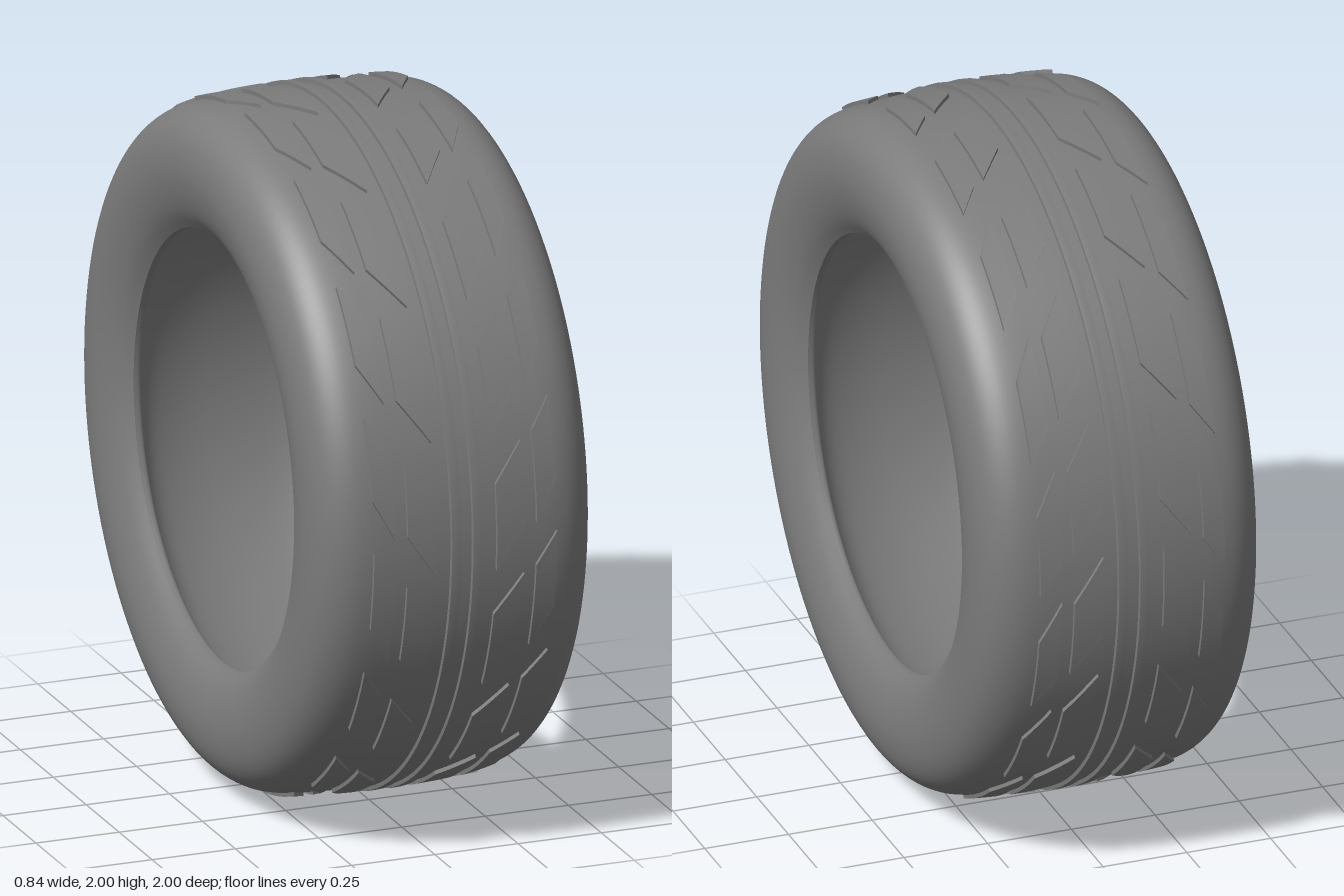
import * as THREE from 'three';

const SEGMENTS = 128;
const BLOCKS = 16;
const PITCH = (Math.PI * 2) / BLOCKS;

// Radius of the slightly crowned tread at a distance x from the middle
const crown = (x) => 0.988 - 0.16 * x * x;

export function createModel() {
  const group = new THREE.Group();
  const tyre = new THREE.Group();
  tyre.name = 'tyre';
  tyre.position.y = 1;
  group.add(tyre);

  const rubber = new THREE.MeshStandardMaterial({ color: 0x7c7c7c });

  function add(name, geometry) {
    const mesh = new THREE.Mesh(geometry, rubber);
    mesh.name = name;
    tyre.add(mesh);
    return mesh;
  }

  // Revolve [x, radius] points about the wheel axis (x)
  function revolve(name, points) {
    const geometry = new THREE.LatheGeometry(points.map(([x, r]) => new THREE.Vector2(r, x)), SEGMENTS);
    add(name, geometry.rotateZ(-Math.PI / 2));
  }

  // Smooth symmetric profile from half of its [x, radius] points and the middle radius
  function symmetric(half, middle, count) {
    const mirrored = half.map(([x, r]) => [-x, r]).reverse();
    const points = [...half, [0, middle], ...mirrored];
    const curve = new THREE.SplineCurve(points.map(([x, r]) => new THREE.Vector2(x, r)));
    return curve.getPoints(count).map((p) => [p.x, p.y]);
  }

  // Carcass: sidewalls, shoulders and tread
  revolve('carcass', symmetric([
    [-0.36, 0.626], [-0.39, 0.67], [-0.411, 0.73], [-0.42, 0.8], [-0.411, 0.87],
    [-0.385, 0.922], [-0.34, 0.958], [-0.28, crown(0.28)], [-0.18, crown(0.18)], [-0.09, crown(0.09)],
  ], crown(0), 80));

  // Rounded bead lips and the hollow inside
  revolve('innerLiner', symmetric([
    [0.36, 0.626], [0.338, 0.628], [0.33, 0.66], [0.308, 0.71], [0.25, 0.752], [0.14, 0.78],
  ], 0.788, 72));

  // Two ribs around the middle of the tread
  for (const side of [-1, 1]) {
    const c = side * 0.032;
    const name = side > 0 ? 'leftRib' : 'rightRib';
    revolve(name + 'Wall', [[c - 0.016, 0.98], [c - 0.014, 0.999]]);
    revolve(name, [[c - 0.014, 0.999], [c, 1], [c + 0.014, 0.999]]);
    revolve(name + 'Wall', [[c + 0.014, 0.999], [c + 0.016, 0.98]]);
  }

  // Slanted raised block: a box bent onto the tread.
  // Each edge is [distance from middle, upper angle, lower angle].
  function treadBlock(inner, outer, side) {
    const geometry = new THREE.BoxGeometry(1, 1, 1, 4, 1, 8);
    const pos = geometry.attributes.position;
    for (let i = 0; i < pos.count; i++) {
      const across = 0.5 + side * pos.getX(i);
      const along = pos.getZ(i) + 0.5;
      const raised = pos.getY(i) > 0;
      const [d, top, bottom] = inner.map((v, k) => THREE.MathUtils.lerp(v, outer[k], across));
      const angle = THREE.MathUtils.lerp(top, bottom, along);
      const r = crown(d) + (raised ? 0.011 : -0.012);
      pos.setXYZ(i, side * d, r * Math.sin(angle), r * Math.cos(angle));
    }
    geometry.computeVertexNormals();
    return geometry;
  }

  // Two rows of blocks on each side, pointing in a V
  const rows = [
    { name: 'InnerBlock', inner: [0.09, -0.232, -0.485], outer: [0.176, -0.115, -0.355] },
    { name: 'ShoulderBlock', inner: [0.212, -0.095, -0.36], outer: [0.275, 0, -0.24] },
  ];
  for (const side of [-1, 1]) {
    for (const row of rows) {
      const geometry = treadBlock(row.inner, row.outer, side);
      for (let i = 0; i < BLOCKS; i++) {
        add((side > 0 ? 'left' : 'right') + row.name, geometry).rotation.x = i * PITCH;
      }
    }
  }

  return group;
}
